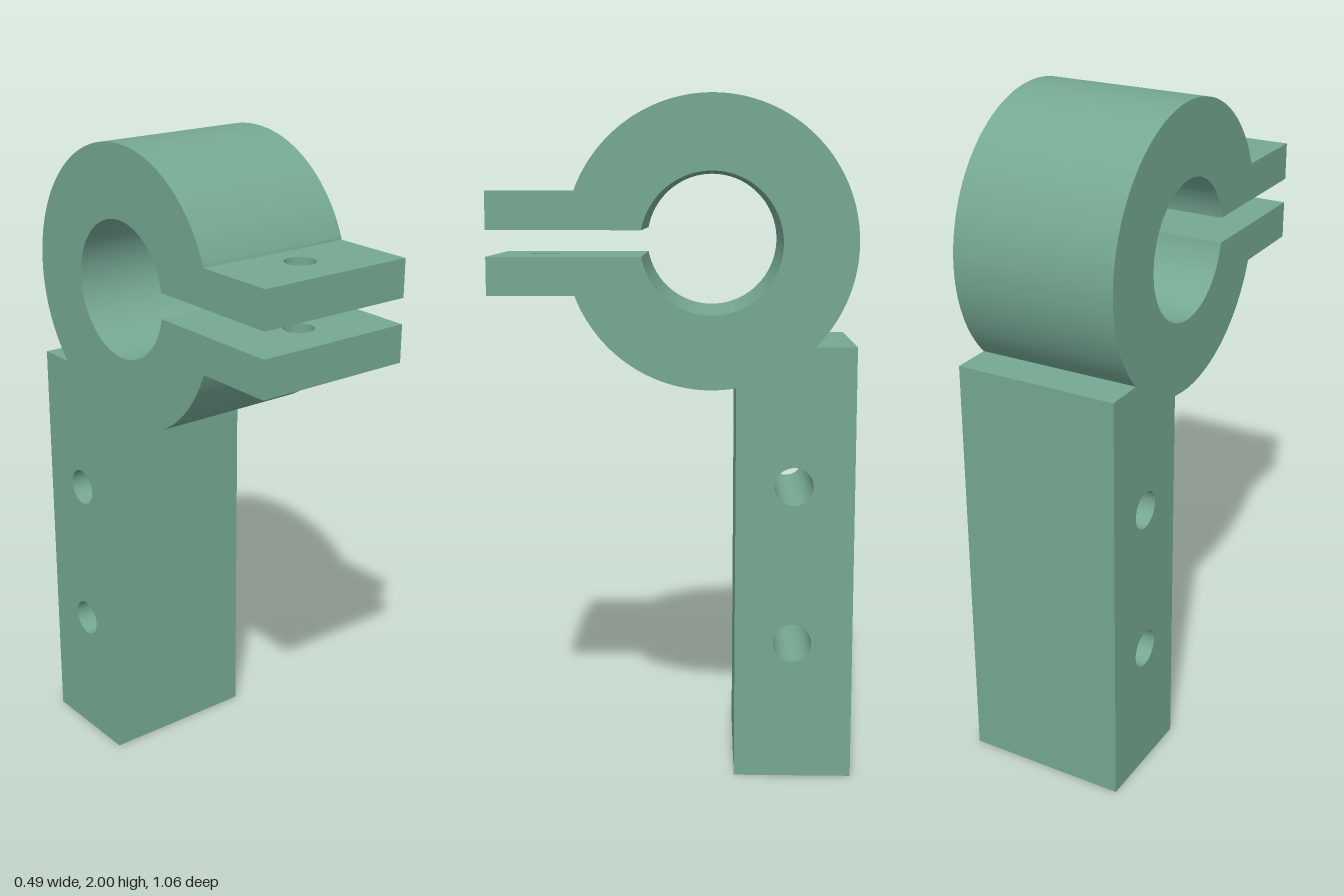
import * as THREE from 'three';
import { toCreasedNormals } from 'three/addons/utils/BufferGeometryUtils.js';

const WIDTH = 0.494;
const CZ = -0.113, CY = 1.581;        // clamp ring centre
const R = 0.419, BORE = 0.204;        // ring radii
const SLOT = 0.0375, EAR = 0.149;     // half heights: slot, outer faces of ears
const FRONT = 0.532, BACK = -0.532;
const POST_FRONT = -0.185, POST_TOP = 1.287;

const circleHole = (x, y, r) => new THREE.Path().absarc(x, y, r, 0, Math.PI * 2, true);

function extrude(shape, depth) {
  const g = new THREE.ExtrudeGeometry(shape, { depth, bevelEnabled: false, curveSegments: 64 });
  g.translate(0, 0, -depth / 2);
  return g;
}

export function createModel() {
  const group = new THREE.Group();
  group.name = 'clampBracket';
  const material = new THREE.MeshStandardMaterial({ color: 0x75a892 });

  const add = (name, geometry) => {
    const mesh = new THREE.Mesh(toCreasedNormals(geometry, 0.5), material);
    mesh.name = name;
    group.add(mesh);
  };

  // Split ring and post share one side profile (shape x = world z)
  const earAngle = Math.asin(EAR / R);
  const slotAngle = Math.asin(SLOT / BORE);
  const earRoot = CZ + R * Math.cos(earAngle);
  const backAngle = Math.PI + Math.asin((CY - POST_TOP) / R);
  const postAngle = Math.PI * 1.5 - Math.asin((CZ - POST_FRONT) / R);

  const profile = new THREE.Shape();
  profile.moveTo(earRoot, CY + EAR);
  profile.absarc(CZ, CY, R, earAngle, backAngle, false);
  profile.lineTo(BACK, POST_TOP);
  profile.lineTo(BACK, 0);
  profile.lineTo(POST_FRONT, 0);
  profile.absarc(CZ, CY, R, postAngle, Math.PI * 2 - earAngle, false);
  profile.lineTo(earRoot, CY - SLOT);
  profile.absarc(CZ, CY, BORE, -slotAngle, slotAngle, true);
  profile.lineTo(earRoot, CY + SLOT);
  profile.closePath();

  // Cross holes through the post
  for (const y of [0.41, 0.88]) profile.holes.push(circleHole(-0.355, y, 0.056));
  add('ringAndPost', extrude(profile, WIDTH).rotateY(-Math.PI / 2));

  // Clamping ears with a vertical bolt hole (shape y = world z)
  const w = WIDTH / 2;
  for (const [name, side] of [['upperEar', 1], ['lowerEar', -1]]) {
    const plate = new THREE.Shape();
    plate.moveTo(-w, earRoot);
    plate.lineTo(w, earRoot);
    plate.lineTo(w, FRONT);
    plate.lineTo(-w, FRONT);
    plate.closePath();
    plate.holes.push(circleHole(0, 0.383, 0.045));
    const g = extrude(plate, EAR - SLOT).rotateX(Math.PI / 2);
    add(name, g.translate(0, CY + side * (EAR + SLOT) / 2, 0));
  }
  return group;
}
